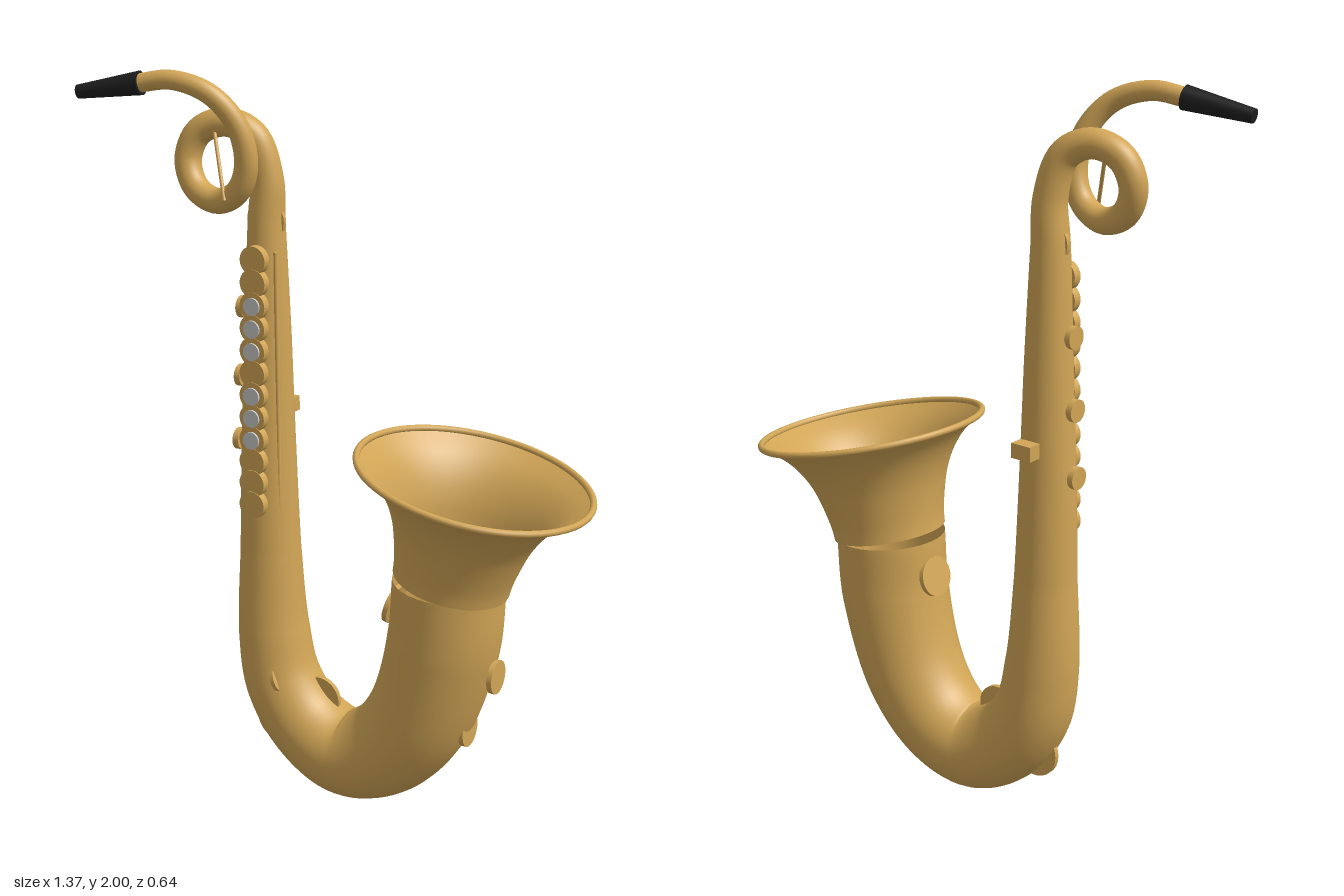
import * as THREE from 'three';

const V = (a) => new THREE.Vector3(a[0], a[1], a[2]);

// Sweep a round section along [x, y, z, radius] stations
function taperedTube(stations, rings, sides) {
  const curve = new THREE.CatmullRomCurve3(stations.map(V));
  const frames = curve.computeFrenetFrames(rings, false);
  const pos = [], index = [];
  for (let i = 0; i <= rings; i++) {
    const u = i / rings;
    const p = curve.getPointAt(u);
    const s = curve.getUtoTmapping(u) * (stations.length - 1);
    const k = Math.min(Math.floor(s), stations.length - 2);
    const r = THREE.MathUtils.lerp(stations[k][3], stations[k + 1][3], s - k);
    for (let j = 0; j < sides; j++) {
      const a = (j / sides) * Math.PI * 2;
      const q = p.clone()
        .addScaledVector(frames.normals[i], r * Math.cos(a))
        .addScaledVector(frames.binormals[i], r * Math.sin(a));
      pos.push(q.x, q.y, q.z);
      if (i < rings) {
        const j2 = (j + 1) % sides;
        const a0 = i * sides + j, d0 = i * sides + j2;
        index.push(a0, d0, a0 + sides, d0, d0 + sides, a0 + sides);
      }
    }
  }
  const g = new THREE.BufferGeometry();
  g.setAttribute('position', new THREE.Float32BufferAttribute(pos, 3));
  g.setIndex(index);
  g.computeVertexNormals();
  return g;
}

export function createModel() {
  const brass = new THREE.MeshStandardMaterial({ color: 0xd1a556, side: THREE.DoubleSide });
  brass.name = 'brass';
  const black = new THREE.MeshStandardMaterial({ color: 0x1e1e1e });
  black.name = 'black';
  const pearl = new THREE.MeshStandardMaterial({ color: 0xc8c8c4 });
  pearl.name = 'pearl';

  const model = new THREE.Group();
  model.name = 'saxophone';

  const add = (name, geometry, material, parent = model) => {
    const m = new THREE.Mesh(geometry, material);
    m.name = name;
    parent.add(m);
    return m;
  };
  // Cylinder or cone between two points
  const rod = (name, from, to, r0, r1, material, parent) => {
    const a = V(from), b = V(to), d = b.clone().sub(a);
    const m = add(name, new THREE.CylinderGeometry(r1, r0, d.length(), 28), material, parent);
    m.position.copy(a).add(b).multiplyScalar(0.5);
    m.quaternion.setFromUnitVectors(new THREE.Vector3(0, 1, 0), d.normalize());
    return m;
  };
  // Flat disc facing a direction
  const disc = (name, c, dir, r, h, material = brass, parent = model) => {
    const n = V(dir).normalize().multiplyScalar(h / 2), p = V(c);
    return rod(name, p.clone().sub(n).toArray(), p.clone().add(n).toArray(), r, r, material, parent);
  };

  // Bow and straight body, then the coiled neck
  add('bodyTube', taperedTube([
    [0.298, 0.69, 0, 0.152],
    [0.284, 0.52, 0, 0.152],
    [0.213, 0.29, 0, 0.143],
    [0.11, 0.168, 0, 0.133],
    [-0.01, 0.127, 0, 0.123],
    [-0.13, 0.185, 0, 0.114],
    [-0.212, 0.3, 0, 0.108],
    [-0.242, 0.45, 0, 0.1],
    [-0.25, 0.7, 0, 0.084],
    [-0.252, 1.0, 0, 0.074],
    [-0.25, 1.3, 0, 0.063],
    [-0.25, 1.6, 0, 0.05],
    [-0.248, 1.72, 0, 0.044],
    [-0.28, 1.825, 0.012, 0.04],
    [-0.35, 1.858, 0.03, 0.038],
    [-0.425, 1.83, 0.045, 0.037],
    [-0.453, 1.76, 0.057, 0.036],
    [-0.423, 1.69, 0.07, 0.035],
    [-0.35, 1.66, 0.082, 0.034],
    [-0.28, 1.69, 0.093, 0.032],
    [-0.248, 1.76, 0.1, 0.031],
    [-0.26, 1.86, 0.118, 0.029],
    [-0.32, 1.94, 0.148, 0.027],
    [-0.42, 1.974, 0.17, 0.025],
    [-0.52, 1.962, 0.187, 0.024],
  ], 240, 40), brass);

  // Flared bell, tilted outward
  const bell = new THREE.Group();
  bell.name = 'bell';
  bell.position.set(0.365, 0.99, 0);
  bell.rotation.z = -0.208;
  model.add(bell);
  const flare = new THREE.SplineCurve([
    [0.157, -0.3], [0.161, -0.26], [0.174, -0.2], [0.191, -0.145],
    [0.219, -0.09], [0.258, -0.042], [0.311, 0],
  ].map((p) => new THREE.Vector2(p[0], p[1])));
  add('bellFlare', new THREE.LatheGeometry(flare.getPoints(28), 64), brass, bell);
  add('bellRim', new THREE.TorusGeometry(0.311, 0.009, 10, 64), brass, bell).rotation.x = Math.PI / 2;

  // Mouthpiece and neck brace
  rod('mouthpiece', [-0.505, 1.964, 0.185], [-0.685, 1.935, 0.21], 0.031, 0.018, black);
  rod('neckBrace', [-0.378, 1.862, 0.05], [-0.3, 1.67, 0.125], 0.005, 0.005, brass);

  // Front key stack, some cups with pearl touches
  const keys = new THREE.Group();
  keys.name = 'keyStack';
  model.add(keys);
  const pearls = [2, 3, 4, 6, 7, 8];
  for (let i = 0; i < 12; i++) {
    const y = 1.51 - i * 0.0605;
    const z = 0.064 + (1.51 - y) * 0.034;
    disc('keyCup', [-0.25, y, z], [0, 0, 1], 0.038, 0.024, brass, keys);
    if (pearls.includes(i)) disc('keyPearl', [-0.25, y, z + 0.014], [0, 0, 1], 0.024, 0.008, pearl, keys);
  }
  rod('keyRod', [-0.193, 0.82, 0.045], [-0.203, 1.53, 0.035], 0.006, 0.006, brass, keys);

  // Side keys and thumb rest
  [[-0.315, 1.37], [-0.324, 1.18], [-0.332, 1.0]].forEach(([x, y]) =>
    disc('sideKey', [x, y, 0.015], [1, 0, 0], 0.03, 0.018));
  add('thumbRest', new THREE.BoxGeometry(0.06, 0.04, 0.04), brass).position.set(-0.25, 1.085, -0.093);
  disc('octaveKey', [-0.25, 1.605, 0], [0, 0, 1], 0.056, 0.012);

  // Low note pads along the bow and bell tube
  disc('bellPad', [0.438, 0.45, 0], [1, 0, 0], 0.046, 0.014);
  disc('bowPad', [0.36, 0.28, 0], [1, 0, 0], 0.047, 0.014);
  disc('bowPad', [0.215, 0.135, 0], [1, 0, 0], 0.047, 0.014);
  disc('innerPad', [0.136, 0.6, 0], [-0.96, 0.27, 0], 0.056, 0.014);
  disc('bowGuard', [-0.22, 0.185, 0], [0, 0, 1], 0.077, 0.014);
  disc('bowGuard', [-0.095, 0.272, 0], [0, 0, 1], 0.062, 0.014);
  disc('bowTab', [-0.185, 0.34, 0.065], [0.93, 0.36, 0], 0.045, 0.012);

  return model;
}
